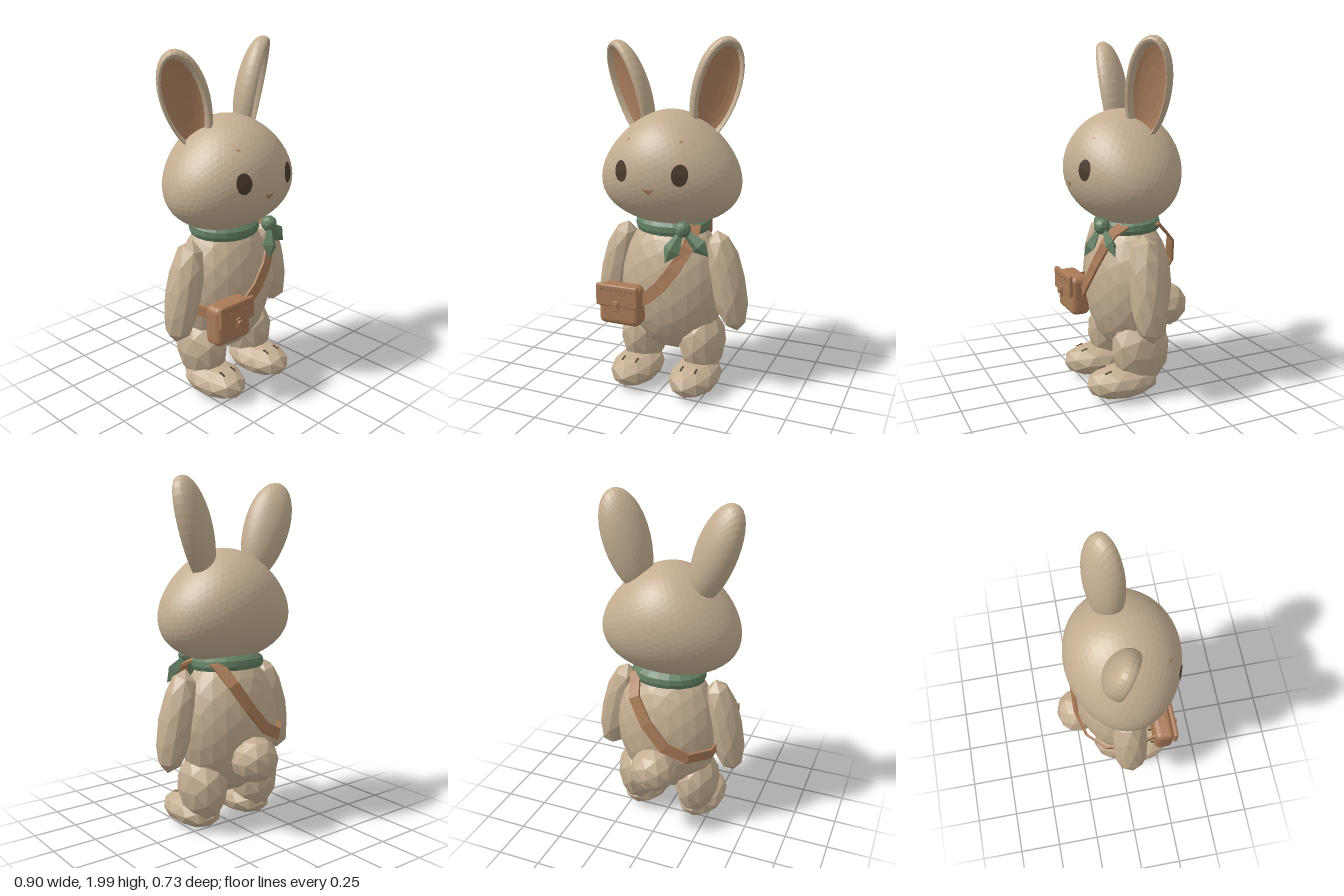
import * as THREE from 'three';
import { RoundedBoxGeometry } from 'three/addons/geometries/RoundedBoxGeometry.js';

const mat = (name, color, extra = {}) => {
  const m = new THREE.MeshStandardMaterial({ color, flatShading: true, ...extra });
  m.name = name;
  return m;
};

// Head: an ellipsoid that widens towards the cheeks
const HEAD = { y: 1.293, z: 0.045, ry: 0.318, rz: 0.317 };
const headWidth = (t) => 0.389 - 0.104 * t;
const headZ = (x, y) => {
  const t = (y - HEAD.y) / HEAD.ry;
  return HEAD.z + HEAD.rz * Math.sqrt(Math.max(0, 1 - t * t - (x / headWidth(t)) ** 2));
};

const eachVertex = (geo, rule) => {
  const p = geo.attributes.position;
  const v = new THREE.Vector3();
  for (let i = 0; i < p.count; i++) {
    rule(v.fromBufferAttribute(p, i));
    p.setXYZ(i, v.x, v.y, v.z);
  }
  geo.computeVertexNormals();
  return geo;
};

// Flat band with a rectangular section, swept along points around the body
function strapGeometry(points, width, thick) {
  const centre = new THREE.Vector3(0, 0.6, 0);
  const pos = [], index = [];
  points.forEach((p, i) => {
    const T = points[Math.min(i + 1, points.length - 1)].clone()
      .sub(points[Math.max(i - 1, 0)]).normalize();
    const N = p.clone().sub(centre);
    N.addScaledVector(T, -N.dot(T)).normalize();
    const B = T.clone().cross(N);
    for (const [b, n] of [[1, 1], [-1, 1], [-1, -1], [1, -1]]) {
      pos.push(...p.clone().addScaledVector(B, b * width / 2).addScaledVector(N, n * thick / 2).toArray());
    }
    if (i === 0) return;
    for (let k = 0; k < 4; k++) {
      const a = (i - 1) * 4 + k, b = (i - 1) * 4 + (k + 1) % 4;
      index.push(a, a + 4, b, b, a + 4, b + 4);
    }
  });
  const g = new THREE.BufferGeometry();
  g.setAttribute('position', new THREE.Float32BufferAttribute(pos, 3));
  g.setIndex(index);
  g.computeVertexNormals();
  return g;
}

// Revolved profile along z, stretched into an ear; the hollow sits off-centre by shift
function earGeometry(profile, shift) {
  const g = new THREE.LatheGeometry(profile.map(([r, z]) => new THREE.Vector2(r, z)), 32);
  g.rotateX(Math.PI / 2);
  return eachVertex(g, (v) => {
    const inner = shift === 0 ? 0 : Math.min(1, (1 - Math.hypot(v.x, v.y)) / 0.26);
    v.x = 0.13 * (v.x * (1 + 0.1 * v.y) + shift * inner);
    v.y *= 0.288 * (1 + 0.13 * inner);
  });
}

export function createModel() {
  const model = new THREE.Group();
  model.name = 'rabbit';
  const fur = mat('fur', 0xc4ae92);
  const leather = mat('leather', 0xa97a57);
  const earInside = mat('earInside', 0xb08260);
  const green = mat('scarfGreen', 0x637e63, { side: THREE.DoubleSide });
  const dark = mat('darkBrown', 0x4a3b2e);

  const add = (name, geo, material, x = 0, y = 0, z = 0, parent = model) => {
    const m = new THREE.Mesh(geo, material);
    m.name = name;
    m.position.set(x, y, z);
    parent.add(m);
    return m;
  };
  const blob = (name, detail, [rx, ry, rz], x, y, z) =>
    add(name, new THREE.IcosahedronGeometry(1, detail).scale(rx, ry, rz), fur, x, y, z);

  // Head and torso
  add('head', eachVertex(new THREE.IcosahedronGeometry(1, 9), (v) => {
    v.x *= headWidth(v.y);
    v.y *= HEAD.ry;
    v.z *= HEAD.rz;
  }), fur, 0, HEAD.y, HEAD.z);
  blob('body', 3, [0.312, 0.412, 0.237], 0, 0.62, 0.01);
  blob('tail', 1, [0.138, 0.132, 0.128], 0, 0.45, -0.235);

  // Limbs: arms with blunt ends, legs fuller at the thigh, chunky feet
  for (const s of [1, -1]) {
    const side = s > 0 ? 'left' : 'right';
    add(side + 'Arm', eachVertex(new THREE.IcosahedronGeometry(1, 1), (v) => {
      v.x *= 0.102 * (1 + 0.1 * v.y * v.y);
      v.z *= 0.104 * (1 + 0.35 * v.y * v.y);
      v.y *= 0.295;
    }), fur, s * 0.336, 0.667, 0.04).rotation.z = s * 0.22;
    add(side + 'Leg', eachVertex(new THREE.IcosahedronGeometry(1, 1), (v) => {
      v.z *= 0.172 * (1 + 0.1 * v.y);
      v.x *= 0.132 * (1 + 0.12 * v.y);
      v.y *= 0.205;
    }), fur, s * 0.184, 0.258, 0.012);
    add(side + 'Foot', eachVertex(new THREE.IcosahedronGeometry(1, 1), (v) => {
      v.y *= 0.092 * (1 + 0.2 * v.z * v.z);
      v.x *= 0.144;
      v.z *= 0.215;
    }), fur, s * 0.182, 0.1, 0.122);
    for (const dx of [-0.042, 0.042]) {
      add(side + 'ToeLine', new THREE.BoxGeometry(0.01, 0.02, 0.038), dark, s * 0.182 + dx, 0.17, 0.225)
        .rotation.x = 0.3;
    }
  }

  // Ears: a rounded back, a rim that is thicker on the inner side, and a hollow lining
  const back = [];
  for (let i = 0; i <= 12; i++) {
    const a = (i / 12) * Math.PI / 2;
    back.push([Math.sin(a), -0.1 * Math.cos(a)]);
  }
  const rim = [[1, 0], [0.985, 0.018], [0.95, 0.03], [0.9, 0.036], [0.84, 0.034], [0.78, 0.022], [0.74, 0.004]];
  const lining = [[0.74, 0.004], [0.6, -0.004], [0.4, -0.01], [0, -0.014]];
  for (const [side, s, x, y, yaw, tilt] of [
    ['left', 1, 0.238, 1.718, 0.6, -0.28], ['right', -1, -0.263, 1.7, -0.6, 0.35]]) {
    const ear = new THREE.Group();
    ear.name = side + 'Ear';
    ear.position.set(x, y, 0);
    ear.rotation.set(0, yaw, tilt, 'ZYX');
    add('earBack', earGeometry(back, 0), fur, 0, 0, 0, ear);
    add('earRim', earGeometry(rim, s * 0.1), fur, 0, 0, 0, ear);
    add('earLining', earGeometry(lining, s * 0.1), earInside, 0, 0, 0, ear);
    model.add(ear);
  }

  // Face patches laid onto the head surface
  const patch = (name, geo, material, cx, cy, lift) => add(name, eachVertex(geo, (v) => {
    v.x += cx;
    v.y += cy;
    v.z = headZ(v.x, v.y) + lift;
  }), material);
  for (const s of [1, -1]) {
    const side = s > 0 ? 'left' : 'right';
    patch(side + 'Eye', new THREE.CircleGeometry(1, 24).scale(0.041, 0.057, 1), dark, s * 0.167, 1.307, 0.004);
    patch(side + 'Brow', new THREE.CircleGeometry(1, 8).scale(0.01, 0.005, 1), leather, s * 0.15, 1.47, 0.002);
  }
  patch('nose', new THREE.CircleGeometry(0.03, 3).rotateZ(-Math.PI / 2).scale(1.3, 0.7, 1), leather, 0, 1.213, 0.004);

  // Neck scarf, lower at the front, with a knot and two tails
  const band = [[0.84, 0], [0.96, 0.002], [1, 0.025], [0.98, 0.055], [0.8, 0.085]];
  add('scarfBand', new THREE.LatheGeometry(band.map(([r, y]) => new THREE.Vector2(r, y)), 20)
    .scale(0.218, 1, 0.183), green, 0, 0.938, 0.012).rotation.x = 0.06;
  add('scarfKnot', new THREE.IcosahedronGeometry(0.046, 1), green, 0.143, 0.993, 0.225);
  const tail = [[0, -0.2], [0.05, -0.125], [0.012, 0]].map(([r, y]) => new THREE.Vector2(r, y));
  for (const [turn, lean, z] of [[-0.38, -0.35, 0.235], [0.8, 0.08, 0.22]]) {
    add('scarfTail', new THREE.LatheGeometry(tail, 4).scale(1, 1, 0.6), green, 0.143, 0.99, z)
      .rotation.set(lean, 0, turn, 'XYZ');
  }

  // Shoulder strap, from the bag, over the shoulder beside the neck and round the back
  const path = [
    [-0.12, 0.545, 0.245], [-0.06, 0.585, 0.257], [0.02, 0.66, 0.262], [0.1, 0.765, 0.252],
    [0.168, 0.89, 0.218], [0.183, 0.955, 0.185], [0.165, 0.99, 0.1], [0.15, 0.99, 0],
    [0.16, 0.99, -0.1], [0.125, 0.885, -0.203], [0.04, 0.75, -0.242], [-0.07, 0.62, -0.245],
    [-0.2, 0.555, -0.205], [-0.3, 0.55, -0.1], [-0.325, 0.57, 0.05], [-0.29, 0.58, 0.23],
  ].map((p) => new THREE.Vector3(...p));
  add('strap', strapGeometry(path, 0.066, 0.014), leather);

  // Satchel
  const bag = new THREE.Group();
  bag.name = 'satchel';
  bag.position.set(-0.21, 0.53, 0.26);
  model.add(bag);
  add('bagBody', new RoundedBoxGeometry(0.25, 0.23, 0.115, 3, 0.035), leather, 0, 0, 0, bag);
  add('bagFlap', new RoundedBoxGeometry(0.255, 0.128, 0.026, 2, 0.01), leather, 0, 0.066, 0.065, bag);
  add('clasp', new RoundedBoxGeometry(0.034, 0.062, 0.012, 2, 0.005), leather, 0, 0.01, 0.082, bag);
  const button = add('claspButton', new THREE.CylinderGeometry(0.014, 0.014, 0.02, 12), leather, 0, 0.015, 0.09, bag);
  button.rotation.x = Math.PI / 2;
  for (let i = 0; i < 7; i++) {
    add('stitch', new THREE.BoxGeometry(0.008, 0.003, 0.004), dark, -0.09 + i * 0.03, 0.1, 0.079, bag);
  }
  return model;
}
